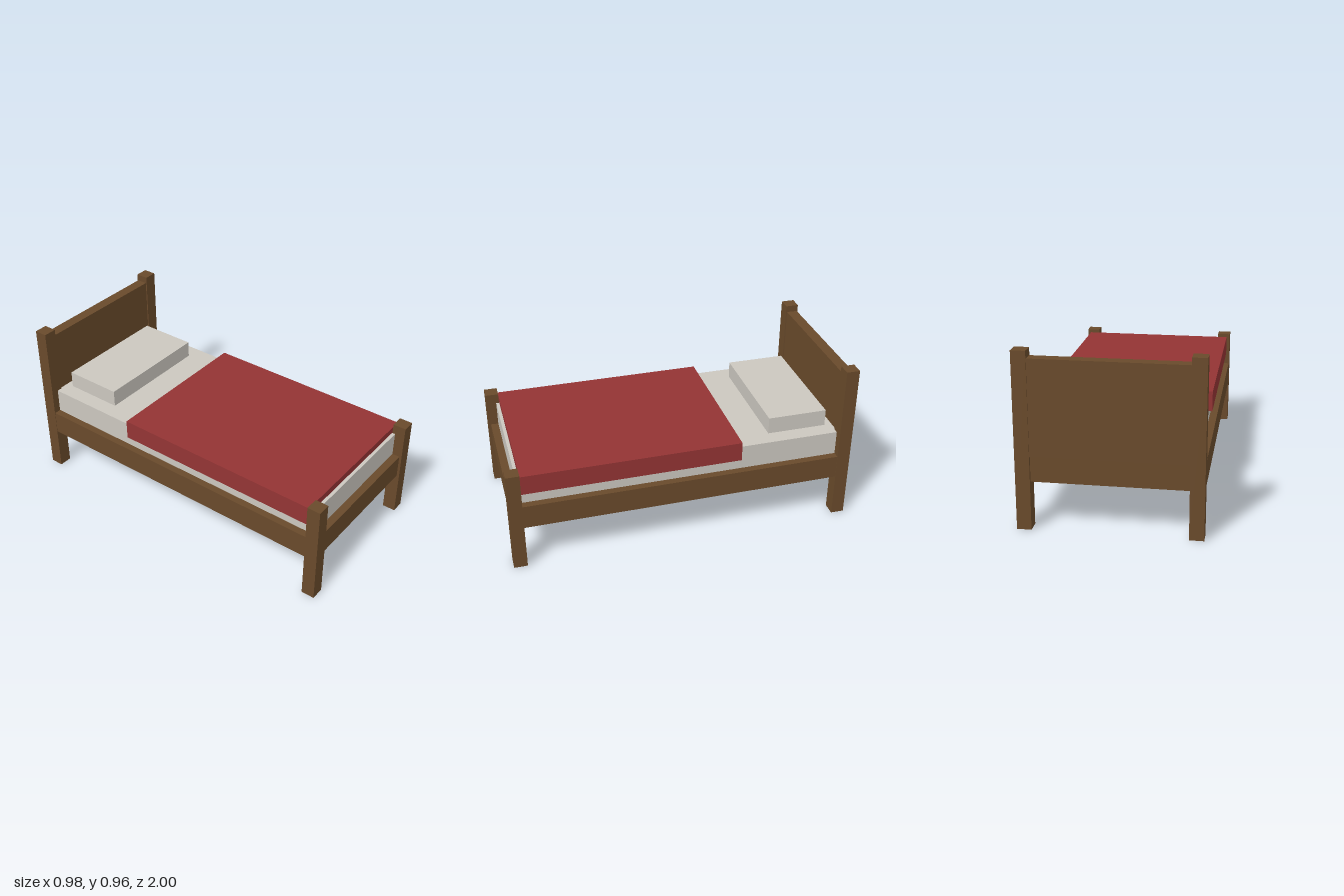
import * as THREE from 'three';

export function createModel() {
  const bed = new THREE.Group();
  bed.name = 'bed';

  const material = (name, color) => {
    const m = new THREE.MeshStandardMaterial({ color });
    m.name = name;
    return m;
  };
  const wood = material('brown wood', 0x694a2b);
  const linen = material('pale linen', 0xcbc7bf);
  const red = material('red blanket', 0x933434);

  // Box given by its extents along each axis
  const box = (name, mat, [x0, x1], [y0, y1], [z0, z1]) => {
    const mesh = new THREE.Mesh(new THREE.BoxGeometry(x1 - x0, y1 - y0, z1 - z0), mat);
    mesh.position.set((x0 + x1) / 2, (y0 + y1) / 2, (z0 + z1) / 2);
    mesh.name = name;
    bed.add(mesh);
  };

  // Corner posts: tall at the head, short at the foot
  for (const [side, x] of [['left', 0.451], ['right', -0.451]]) {
    const span = [x - 0.039, x + 0.039];
    box(side + 'HeadPost', wood, span, [0, 0.965], [-1, -0.923]);
    box(side + 'FootPost', wood, span, [0, 0.61], [0.923, 1]);
  }

  // Solid frame and the headboard that overhangs it slightly at the back
  box('frame', wood, [-0.488, 0.488], [0.265, 0.405], [-0.985, 0.985]);
  box('headboard', wood, [-0.42, 0.42], [0.405, 0.925], [-0.995, -0.93]);

  // Bedding
  box('mattress', linen, [-0.446, 0.446], [0.405, 0.55], [-0.94, 0.94]);
  box('pillow', linen, [-0.353, 0.353], [0.55, 0.65], [-0.885, -0.535]);
  box('blanket', red, [-0.47, 0.47], [0.475, 0.59], [-0.335, 0.921]);

  return bed;
}
